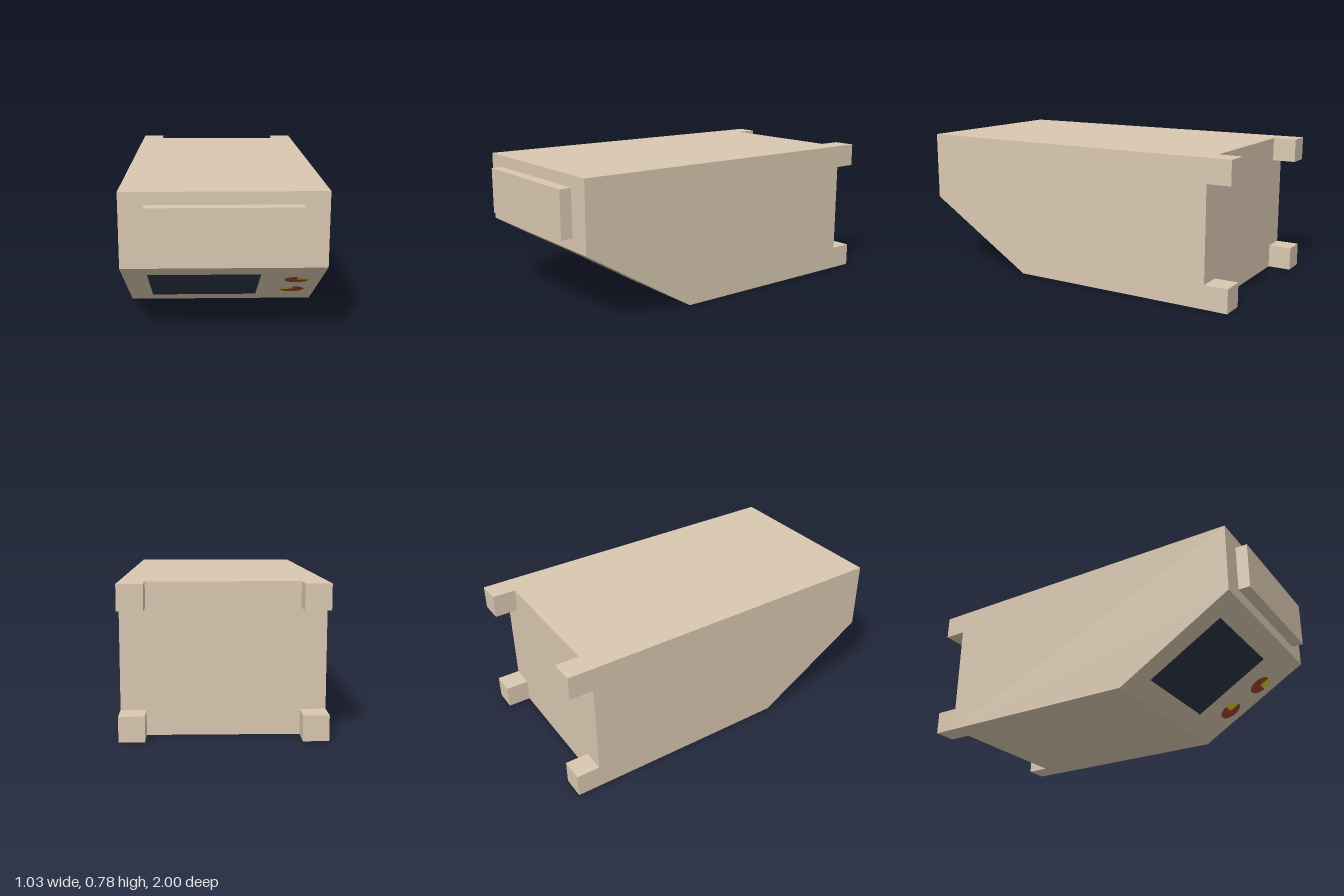
import * as THREE from 'three';

const WIDTH = 1.032, HEIGHT = 0.776, BACK = -0.87, FRONT = 0.935;
const SLOPE_Z = 0.29, SLOPE_Y = 0.39; // where the sloped panel meets the base and the front
const FOOT = 0.13;

const material = (color) => new THREE.MeshStandardMaterial({ color });

export function createModel() {
  const model = new THREE.Group();
  const shellMat = material(0xd9c8b0);
  const screenMat = material(0x2b3445);
  const redMat = material(0xa1452d);
  const yellowMat = material(0xdcd030);

  const add = (parent, name, geometry, mat, x = 0, y = 0, z = 0) => {
    const mesh = new THREE.Mesh(geometry, mat);
    mesh.name = name;
    mesh.position.set(x, y, z);
    parent.add(mesh);
    return mesh;
  };

  // Casing: side profile (z, y) extruded across the width
  const profile = new THREE.Shape([
    [BACK, 0], [SLOPE_Z, 0], [FRONT, SLOPE_Y], [FRONT, HEIGHT], [BACK, HEIGHT],
  ].map(([z, y]) => new THREE.Vector2(z, y)));
  const casing = new THREE.ExtrudeGeometry(profile, { depth: WIDTH, bevelEnabled: false });
  casing.translate(0, 0, -WIDTH / 2).rotateY(-Math.PI / 2);
  add(model, 'casing', casing, shellMat);

  // Raised block on the front
  add(model, 'frontBlock', new THREE.BoxGeometry(0.776, 0.257, 1 - FRONT), shellMat,
    0, 0.582, (1 + FRONT) / 2);

  // Four corner feet on the back
  for (const side of [-1, 1]) {
    for (const y of [FOOT / 2, HEIGHT - FOOT / 2]) {
      add(model, 'foot', new THREE.BoxGeometry(FOOT, FOOT, 1 + BACK), shellMat,
        side * (WIDTH - FOOT) / 2, y, (BACK - 1) / 2);
    }
  }

  // Sloped panel frame: local y runs up the slope, local z points outward
  const panel = new THREE.Group();
  panel.name = 'controlPanel';
  panel.position.set(0, SLOPE_Y / 2, (SLOPE_Z + FRONT) / 2);
  panel.rotation.x = Math.atan2(FRONT - SLOPE_Z, SLOPE_Y);
  model.add(panel);
  const slopeLength = Math.hypot(FRONT - SLOPE_Z, SLOPE_Y);
  const alongSlope = (y) => (y / SLOPE_Y - 0.5) * slopeLength;
  const LIFT = 0.002;

  const screenBottom = alongSlope(0.068), screenTop = alongSlope(0.322);
  add(panel, 'screen', new THREE.PlaneGeometry(0.581, screenTop - screenBottom), screenMat,
    -0.0985, (screenBottom + screenTop) / 2, LIFT);

  // Dials: red three-quarter disc with one yellow quadrant
  const quarter = Math.PI / 2;
  for (const [y, start] of [[0.256, 0], [0.135, quarter]]) {
    const dial = new THREE.Group();
    dial.name = 'dial';
    dial.position.set(0.387, alongSlope(y), LIFT);
    panel.add(dial);
    add(dial, 'dialFace', new THREE.CircleGeometry(0.065, 36, start + quarter, 3 * quarter), redMat);
    add(dial, 'dialMarker', new THREE.CircleGeometry(0.065, 12, start, quarter), yellowMat);
  }

  return model;
}
